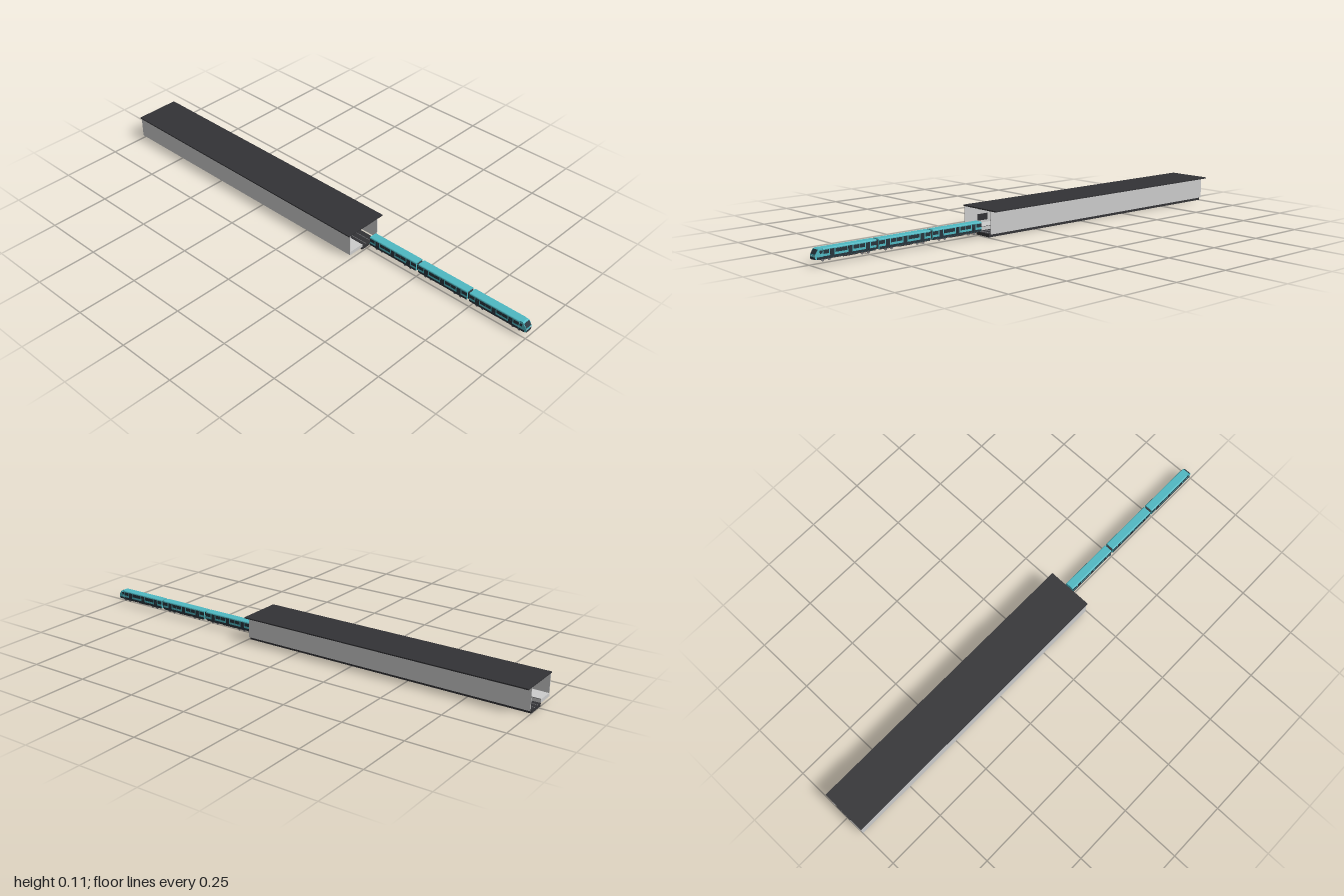
import * as THREE from 'three';

const mat = (color) => new THREE.MeshStandardMaterial({ color });
const GREY = mat(0xcccccc), DARK = mat(0x333336), TEAL = mat(0x4fb8c2), GLASS = mat(0x26343c), METAL = mat(0x77777a);
const TRAIN_Z = -0.0195;

function add(parent, name, geometry, material, x = 0, y = 0, z = 0) {
  const m = new THREE.Mesh(geometry, material);
  m.name = name;
  m.position.set(x, y, z);
  parent.add(m);
  return m;
}

// box given by its limits on each axis
function block(parent, name, material, x0, x1, y0, y1, z0, z1) {
  return add(parent, name, new THREE.BoxGeometry(x1 - x0, y1 - y0, z1 - z0), material,
    (x0 + x1) / 2, (y0 + y1) / 2, (z0 + z1) / 2);
}

// car cross-section (z across, y up) with rounded roof shoulders, swept along x
function bodyGeometry(length) {
  const w = 0.0185, b = 0.024, t = 0.061, r = 0.005;
  const s = new THREE.Shape();
  s.moveTo(-w + 0.002, b);
  s.lineTo(w - 0.002, b);
  s.lineTo(w, b + 0.004);
  s.lineTo(w, t - r);
  s.quadraticCurveTo(w, t, w - r, t);
  s.lineTo(-w + r, t);
  s.quadraticCurveTo(-w, t, -w, t - r);
  s.lineTo(-w, b + 0.004);
  s.closePath();
  return new THREE.ExtrudeGeometry(s, { depth: length, bevelEnabled: false, curveSegments: 4 }).rotateY(Math.PI / 2);
}

function makeBogie() {
  const g = new THREE.Group();
  g.name = 'bogie';
  block(g, 'bogieFrame', DARK, -0.021, 0.021, 0.0195, 0.025, -0.013, 0.013);
  for (const z of [-0.0145, 0.0145]) {
    block(g, 'sideFrame', METAL, -0.02, 0.02, 0.02, 0.0235, z - 0.0012, z + 0.0012);
    for (const x of [-0.013, 0.013]) {
      const wheel = new THREE.CylinderGeometry(0.0055, 0.0055, 0.0025, 14).rotateX(Math.PI / 2);
      add(g, 'wheel', wheel, METAL, x, 0.0195, z * 0.9);
    }
  }
  for (const x of [-0.013, 0.013]) {
    add(g, 'axle', new THREE.CylinderGeometry(0.0012, 0.0012, 0.027, 8).rotateX(Math.PI / 2), METAL, x, 0.0195, 0);
  }
  return g;
}

// sloping driver's cab, narrowed towards its tip
function makeNose(x) {
  const g = new THREE.Group();
  g.name = 'cab';
  const side = new THREE.Shape();
  [[0, 0.024], [0.027, 0.024], [0.031, 0.029], [0.03, 0.041], [0.018, 0.058], [0.012, 0.061], [0, 0.061]]
    .forEach(([px, py], i) => (i ? side.lineTo(px, py) : side.moveTo(px, py)));
  const geo = new THREE.ExtrudeGeometry(side, { depth: 0.037, bevelEnabled: false }).translate(0, 0, -0.0185);
  const p = geo.attributes.position;
  for (let i = 0; i < p.count; i++) {
    const t = p.getX(i) / 0.031;
    const roof = p.getY(i) > 0.06 ? 0.8 : 1;
    p.setZ(i, p.getZ(i) * (1 - 0.13 * t * t) * roof);
  }
  geo.computeVertexNormals();
  add(g, 'cabShell', geo, TEAL, x);
  const screen = add(g, 'windscreen', new THREE.BoxGeometry(0.0012, 0.0195, 0.029), GLASS, x + 0.0243, 0.0495, 0);
  screen.rotation.z = Math.atan2(0.012, 0.017);
  block(g, 'lowerFront', GLASS, x + 0.026, x + 0.0315, 0.0235, 0.0315, -0.0145, 0.0145);
  for (const s of [-1, 1]) {
    block(g, 'headlight', GREY, x + 0.03, x + 0.0313, 0.0345, 0.037, s * 0.0105 - 0.003, s * 0.0105 + 0.003);
    block(g, 'cabWindow', GLASS, x + 0.003, x + 0.013, 0.043, 0.054, s * 0.0181 - 0.0007, s * 0.0181 + 0.0007);
    block(g, 'cabSkirt', GLASS, x, x + 0.024, 0.0235, 0.0315, s * 0.0172 - 0.0013, s * 0.0172 + 0.0013);
  }
  block(g, 'coupler', METAL, x + 0.026, x + 0.034, 0.0225, 0.0255, -0.002, 0.002);
  return g;
}

function makeCar(name, x0, x1, hasCab) {
  const g = new THREE.Group();
  g.name = name;
  const end = hasCab ? x1 - 0.031 : x1;
  const len = end - x0;
  add(g, 'body', bodyGeometry(len), TEAL, x0);
  block(g, 'underframe', DARK, x0 + 0.003, end - 0.003, 0.0215, 0.0245, -0.0165, 0.0165);
  block(g, 'equipmentBox', DARK, x0 + len * 0.36, x0 + len * 0.62, 0.019, 0.023, -0.014, 0.014);
  // windows, doors and skirts on both sides
  const bays = 9, pitch = len / bays;
  for (const z of [-0.0186, 0.0186]) {
    for (let i = 0; i < bays; i++) {
      const c = x0 + (i + 0.5) * pitch;
      if (i % 3 === 1) {
        for (const d of [-0.0045, 0.0045]) {
          block(g, 'doorLeaf', GLASS, c + d - 0.0042, c + d + 0.0042, 0.0265, 0.0555, z - 0.0006, z + 0.0006);
        }
      } else {
        block(g, 'window', GLASS, c - pitch * 0.47, c + pitch * 0.47, 0.041, 0.0545, z - 0.0005, z + 0.0005);
      }
    }
    block(g, 'skirt', GLASS, x0 + 0.001, end - 0.001, 0.025, 0.0325, z - 0.0004, z + 0.0004);
  }
  for (const x of [x0 + 0.045, x1 - 0.045]) {
    const b = makeBogie();
    b.position.x = x;
    g.add(b);
  }
  if (hasCab) g.add(makeNose(end));
  else block(g, 'gangway', DARK, x1 - 0.001, x1 + 0.011, 0.027, 0.056, -0.012, 0.012);
  return g;
}

function makeStation() {
  const g = new THREE.Group();
  g.name = 'station';
  const a = -1, b = 0.243;
  block(g, 'roof', DARK, a, b, 0.102, 0.107, -0.096, 0.096);
  block(g, 'frontWall', GREY, a, b, 0.0125, 0.102, 0.0865, 0.0895);
  block(g, 'backWall', GREY, a, b, 0.0125, 0.102, -0.0685, -0.0655);
  block(g, 'platform', GREY, a, b, 0.0125, 0.0265, 0.018, 0.0865);
  block(g, 'platformEdge', DARK, a, b, 0.0262, 0.027, 0.018, 0.0205);
  block(g, 'trackBed', DARK, a, b, 0, 0.0125, -0.0585, 0.0185);
  // rails
  for (const s of [-1, 1]) {
    block(g, 'rail', METAL, a, b, 0.0125, 0.0145, TRAIN_Z + s * 0.013 - 0.001, TRAIN_Z + s * 0.013 + 0.001);
  }
  // platform furniture, wall panels and ceiling lamps
  for (let i = 0; i < 8; i++) {
    const x = a + 0.09 + i * 0.152;
    block(g, 'wallPanel', DARK, x - 0.025, x + 0.025, 0.036, 0.062, 0.0855, 0.0867);
    block(g, 'upperPanel', METAL, x - 0.02, x + 0.02, 0.08, 0.086, 0.0855, 0.0867);
    block(g, 'trackSidePanel', METAL, x - 0.025, x + 0.025, 0.062, 0.072, -0.0657, -0.0645);
    block(g, 'ceilingLamp', DARK, x - 0.03, x + 0.03, 0.0995, 0.1022, 0.046, 0.052);
  }
  return g;
}

export function createModel() {
  const model = new THREE.Group();
  model.name = 'railwayStation';
  model.add(makeStation());
  const train = new THREE.Group();
  train.name = 'train';
  train.position.z = TRAIN_Z;
  train.add(makeCar('rearCar', 0.264, 0.496, false));
  train.add(makeCar('middleCar', 0.506, 0.736, false));
  train.add(makeCar('leadCar', 0.746, 0.997, true));
  model.add(train);
  return model;
}
